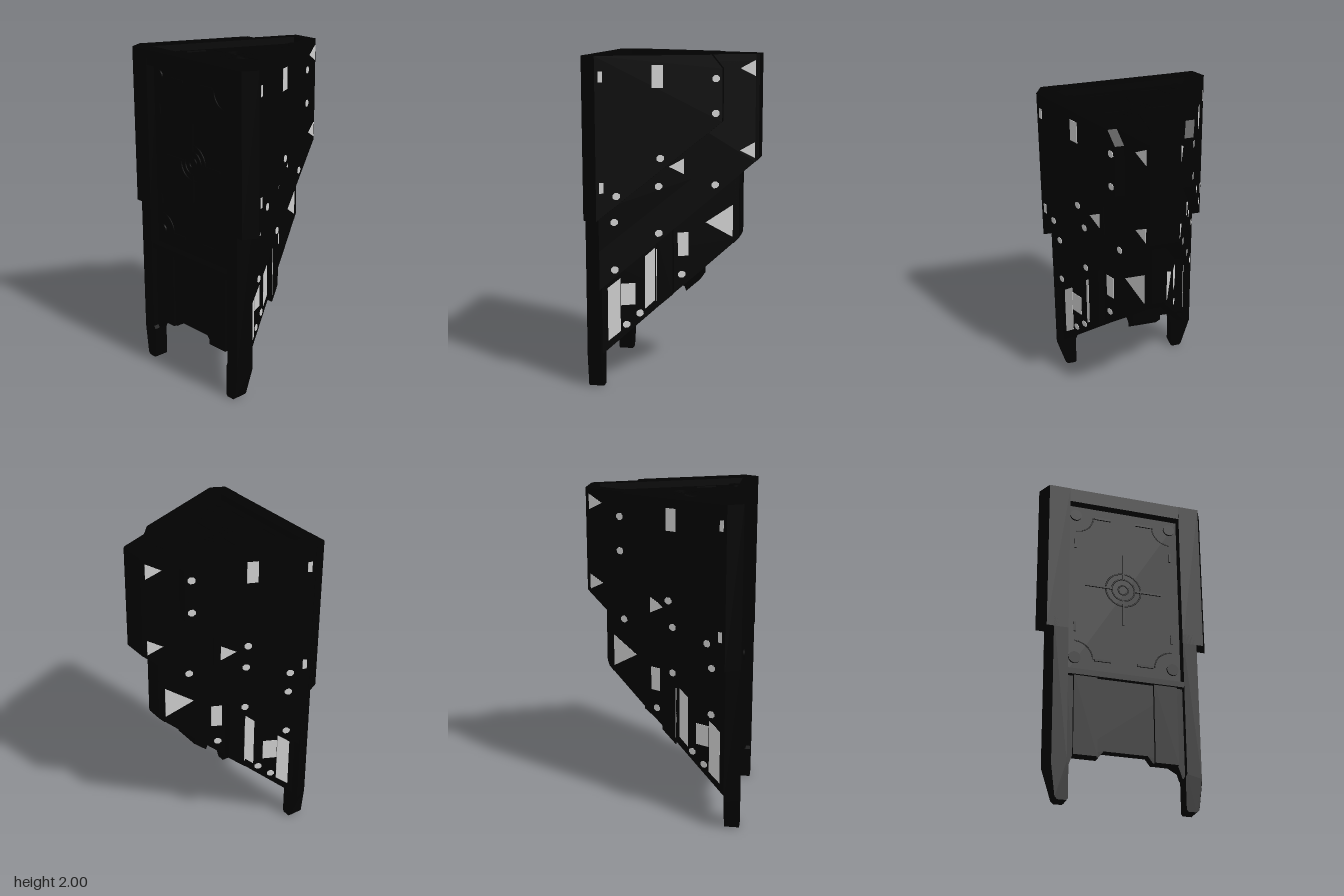
import * as THREE from 'three';

const black = new THREE.MeshStandardMaterial({ color: 0x020202 });
black.name = 'black casing';
const white = new THREE.MeshStandardMaterial({ color: 0xd0d0d0 });
white.name = 'white markings';

// Half-widths of the tapering upper and lower hull at depth z
const half = (z) => 0.299 + 0.427 * z;
const lowerHalf = (z) => 0.23 + 0.48 * z;

function extrude(points, depth) {
  const shape = new THREE.Shape(points.map(([a, b]) => new THREE.Vector2(a, b)));
  const geo = new THREE.ExtrudeGeometry(shape, { depth, bevelEnabled: false });
  return geo.index ? geo.toNonIndexed() : geo;
}

// Extrude a (z, y) profile and place each vertex with xRule(w, z), w from 0 to 1
function profile(points, xRule, flip) {
  const geo = extrude(points, 1);
  const p = geo.attributes.position;
  const out = [];
  for (let i = 0; i < p.count; i += 3) {
    for (const k of flip ? [0, 2, 1] : [0, 1, 2]) {
      const z = p.getX(i + k);
      out.push(xRule(p.getZ(i + k), z), p.getY(i + k), z);
    }
  }
  const g = new THREE.BufferGeometry();
  g.setAttribute('position', new THREE.Float32BufferAttribute(out, 3));
  g.computeVertexNormals();
  return g;
}

export function createModel() {
  const root = new THREE.Group();
  root.name = 'casing';

  const add = (name, geo, mat = black, parent = root) => {
    const m = new THREE.Mesh(geo, mat);
    m.name = name;
    parent.add(m);
    return m;
  };
  const box = (name, w, h, d, x, y, z, parent = root) => {
    const m = add(name, new THREE.BoxGeometry(w, h, d), black, parent);
    m.position.set(x, y, z);
    return m;
  };
  // Solid across the whole width
  const solid = (name, pts, rule) =>
    add(name, profile(pts, (w, z) => (2 * w - 1) * rule(z), true));
  // Mirrored pair of slabs that follow the slanted sides
  const slabs = (name, pts, inner, outer, rule = half, mat = black) => {
    for (const s of [1, -1]) {
      add(name, profile(pts, (w, z) => s * (rule(z) + inner + (outer - inner) * w), s > 0), mat);
    }
  };

  // Upper hull, back edge and raised rim round the top
  const TOP = 1.96;
  solid('upperHull', [[0.4, TOP], [-0.47, TOP], [-0.47, 1.36], [0.4, 0.62]], half);
  solid('backEdge', [[-0.47, 2], [-0.49, 2], [-0.49, 1.375], [-0.47, 1.36]],
    (z) => 0.099 + 0.8 * (z + 0.47));
  slabs('topRim', [[0.4, 2], [-0.47, 2], [-0.47, 1.95], [0.4, 1.95]], -0.07, 0);
  solid('topBackRim', [[-0.43, 2], [-0.47, 2], [-0.47, 1.95], [-0.43, 1.95]], half);

  // Side armour: outer panel and the shallow band under it
  slabs('outerPanel', [[0.4, 2], [-0.23, 2], [-0.29, 1.92], [-0.29, 1.61], [0.4, 1.045]], -0.02, 0.053);
  slabs('middleBand', [[0.4, 1.1], [-0.11, 1.52], [-0.11, 1.27], [0.4, 0.855]], -0.02, 0.003);

  // Narrower, hollow lower hull that tapers to a slim back edge
  slabs('lowerWall', [[0.41, 0.8], [-0.37, 1.4], [-0.37, 0.88], [-0.13, 0.67],
    [0, 0.56], [0.41, 0.2]], -0.04, 0, lowerHalf);
  slabs('sideRib', [[0.09, 0.94], [0, 1], [0, 0.56], [0.09, 0.485]], -0.02, 0.04, lowerHalf);
  solid('lowerBackWall', [[-0.34, 1.32], [-0.37, 1.32], [-0.37, 0.88], [-0.34, 0.85]], lowerHalf);
  solid('lowerBackEdge', [[-0.37, 1.28], [-0.385, 1.29], [-0.385, 0.91], [-0.37, 0.88]],
    (z) => 0.052 + (z + 0.37));
  solid('lowerCore', [[0.41, 0.75], [-0.34, 1.3], [-0.34, 0.99], [0.41, 0.36]], (z) => lowerHalf(z) - 0.03);
  solid('keel', [[0, 0.8], [-0.14, 0.9], [-0.14, 0.62], [-0.05, 0.54], [-0.04, 0.57], [0, 0.58]], () => 0.09);
  slabs('underRib', [[0.4, 0.5], [-0.12, 0.9], [-0.12, 0.75], [0.4, 0.29]], -0.1, -0.07, lowerHalf);

  // Front frame: outer corners slant inwards towards the front
  const frontPiece = (name, pts, z0, z1, slant = 0, mirror = true) => {
    for (const s of mirror ? [1, -1] : [1]) {
      const geo = extrude(pts.map(([x, y]) => [s * x, y]), z1 - z0);
      geo.translate(0, 0, z0);
      const p = geo.attributes.position;
      for (let i = 0; i < p.count; i++) {
        const x = p.getX(i);
        if (p.getZ(i) > z0 + 0.01 && Math.abs(x) > 0.44) p.setX(i, x - Math.sign(x) * slant);
      }
      geo.computeVertexNormals();
      add(name, geo);
    }
  };
  frontPiece('frontLeg', [[0.35, 1.1], [0.35, 0.22], [0.34, 0.2], [0.34, 0.01], [0.35, 0],
    [0.4, 0], [0.415, 0.015], [0.472, 0.2], [0.472, 1.1]], 0.4, 0.49, 0.035);
  frontPiece('frontWing', [[0.35, 1.04], [0.525, 1.04], [0.525, 2], [0.35, 2]], 0.4, 0.49, 0.045);
  box('topBar', 0.86, 0.09, 0.088, 0, 1.955, 0.444);
  box('frontPanel', 0.72, 1.16, 0.04, 0, 1.34, 0.415);
  box('crossBar', 0.72, 0.035, 0.085, 0, 0.772, 0.4425);
  const edge = [[0.35, 0.77], [0.35, 0.2], [0.335, 0.2], [0.31, 0.275], [0.16, 0.275], [0.13, 0.315]];
  frontPiece('lowerFrontPlate', [...edge, ...edge.map(([x, y]) => [-x, y]).reverse()], 0.4, 0.455, 0, false);
  frontPiece('lowerFrontStrip', [[0.17, 0.77], [0.17, 0.275], [0.31, 0.275], [0.31, 0.77]], 0.44, 0.472);

  // Raised ring with four spokes, facing +z
  const ringDetail = (name, radius, reach) => {
    const g = new THREE.Group();
    g.name = name;
    for (const k of [1, 0.65, 0.28]) {
      add('ring', new THREE.TorusGeometry(radius * k, 0.005, 4, 32), black, g);
    }
    for (let i = 0; i < 4; i++) {
      const a = (i * Math.PI) / 2;
      const r = (radius * 0.65 + reach) / 2;
      box('spoke', reach - radius * 0.65, 0.012, 0.012, r * Math.cos(a), r * Math.sin(a), 0, g).rotation.z = a;
    }
    root.add(g);
    return g;
  };
  // Round fastener with a surrounding arc, facing +z
  const fastener = (name, x, y, start, sweep, parent) => {
    const g = new THREE.Group();
    g.name = name;
    add('stud', new THREE.CylinderGeometry(0.036, 0.036, 0.016, 24), black, g).rotation.x = Math.PI / 2;
    add('arc', new THREE.TorusGeometry(0.11, 0.004, 4, 20, sweep), black, g).rotation.z = start;
    g.position.set(x, y, 0);
    parent.add(g);
  };

  // Front panel details
  ringDetail('frontRing', 0.11, 0.24).position.set(0, 1.37, 0.437);
  const frontDetails = new THREE.Group();
  frontDetails.name = 'frontFasteners';
  frontDetails.position.z = 0.437;
  root.add(frontDetails);
  for (const s of [1, -1]) {
    for (const [y, up] of [[1.845, 1], [0.88, -1]]) {
      const start = up > 0 ? (s > 0 ? Math.PI : 1.5 * Math.PI) : (s > 0 ? Math.PI / 2 : 0);
      fastener('fastener', s * 0.3, y, start, Math.PI / 2, frontDetails);
      box('groove', 0.1, 0.014, 0.012, s * 0.13, y, 0, frontDetails);
      box('groove', 0.014, 0.06, 0.012, s * 0.3, y - up * 0.2, 0, frontDetails);
    }
  }

  // Top details
  const topRing = ringDetail('topRing', 0.1, 0.2);
  topRing.rotation.x = -Math.PI / 2;
  topRing.position.set(0, TOP + 0.002, 0.09);
  const topDetails = new THREE.Group();
  topDetails.name = 'topFasteners';
  topDetails.rotation.x = -Math.PI / 2;
  topDetails.position.y = TOP + 0.002;
  root.add(topDetails);
  fastener('fastener', 0, 0.38, 1.25 * Math.PI, Math.PI / 2, topDetails);
  box('groove', 0.012, 0.12, 0.012, 0, 0.21, 0, topDetails);
  for (const s of [1, -1]) {
    fastener('fastener', s * 0.33, -0.355, s > 0 ? Math.PI / 2 : 0, Math.PI / 2, topDetails);
    box('groove', 0.12, 0.014, 0.012, s * 0.15, -0.355, 0, topDetails);
    box('groove', 0.012, 0.12, 0.012, s * 0.25, -0.19, 0, topDetails).rotation.z = s * 0.4;
  }

  // White markings, listed as (z, y) outlines for each layer
  const mark = (layer, pts, rule = half) => slabs('marking', pts, layer - 0.003, layer + 0.003, rule, white);
  const lowerMark = (pts) => mark(0, pts, lowerHalf);
  const rect = (z0, z1, y0, y1) => [[z0, y0], [z1, y0], [z1, y1], [z0, y1]];
  const dot = (z, y) => [0, 1, 2, 3, 4, 5, 6, 7].map((i) => {
    const a = ((i + 0.5) * Math.PI) / 4;
    return [z + 0.022 * Math.cos(a), y + 0.022 * Math.sin(a)];
  });
  const arrow = (z, y, l, h) => [[z, y], [z - l, y + h], [z - l, y - h]];
  const OUTER = 0.053, BAND = 0.003, HULL = 0;

  mark(OUTER, rect(0.358, 0.381, 1.85, 1.912));
  mark(OUTER, rect(0.358, 0.381, 1.21, 1.272));
  mark(OUTER, rect(0.035, 0.095, 1.815, 1.945));
  for (const [z, y] of [[-0.255, 1.863], [-0.255, 1.66], [0.05, 1.405], [0.29, 1.19]]) mark(OUTER, dot(z, y));
  mark(BAND, arrow(0.013, 1.348, 0.085, 0.047));
  for (const [z, y] of [[0.07, 1.233], [0.315, 1.028]]) mark(BAND, dot(z, y));
  mark(HULL, arrow(-0.383, 1.918, 0.085, 0.047));
  mark(HULL, arrow(-0.383, 1.432, 0.085, 0.047));
  for (const [z, y] of [[-0.245, 1.23], [0.07, 0.95], [0.315, 0.74]]) mark(HULL, dot(z, y));
  lowerMark(arrow(-0.18, 0.99, 0.155, 0.1));
  lowerMark(rect(-0.082, -0.023, 0.79, 0.935));
  lowerMark([[0.367, 0.29], [0.367, 0.62], [0.298, 0.675], [0.298, 0.345]]);
  mark(0.04, [[0.09, 0.53], [0.086, 0.53], [0.086, 0.85], [0.09, 0.85]], lowerHalf);
  lowerMark([[0.161, 0.475], [0.161, 0.8], [0.105, 0.85], [0.105, 0.525]]);
  lowerMark(rect(0.215, 0.295, 0.507, 0.64));
  for (const [z, y] of [[-0.045, 0.675], [0.19, 0.45], [0.265, 0.385]]) lowerMark(dot(z, y));

  return root;
}
